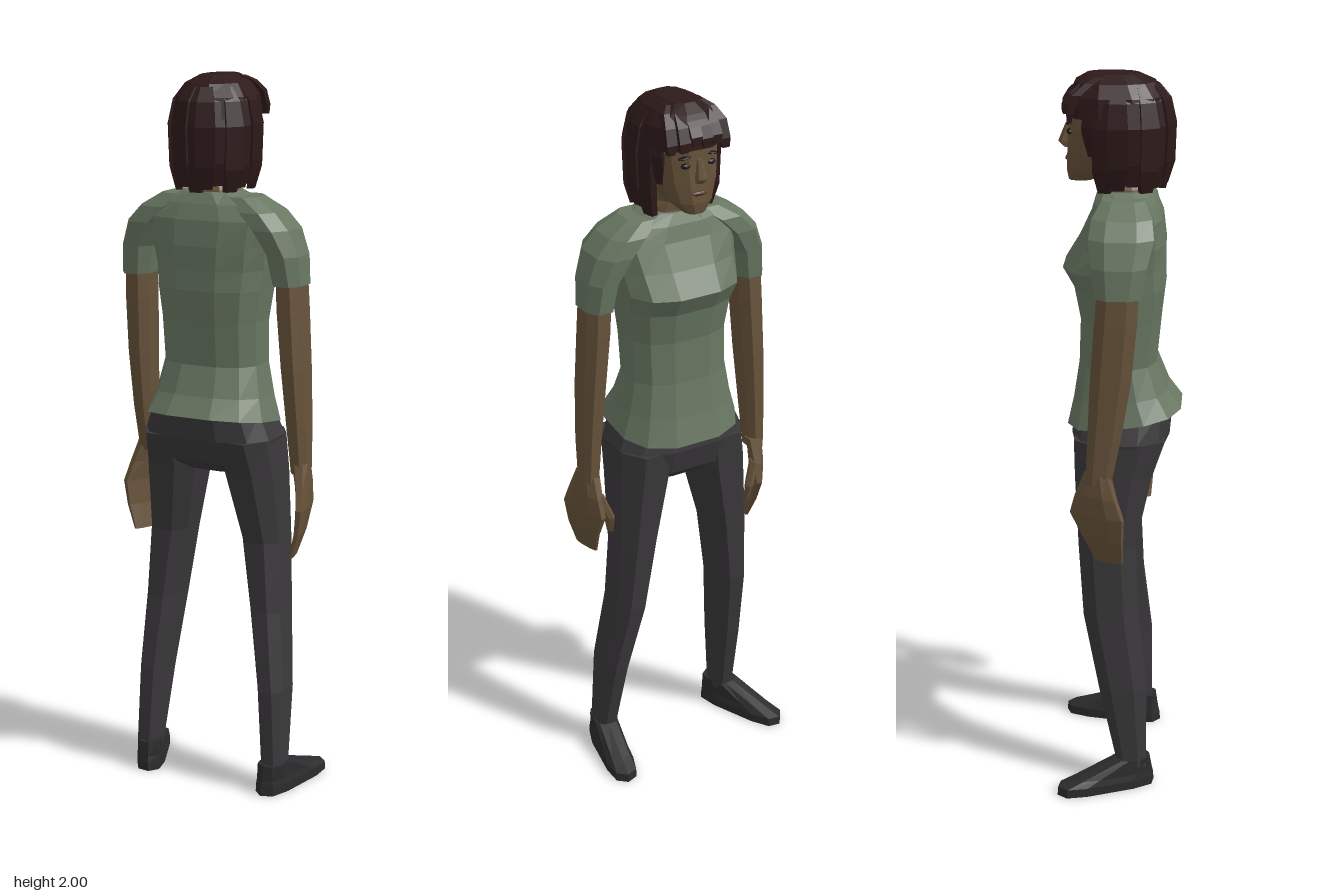
import * as THREE from 'three';

const mat = (color) => new THREE.MeshStandardMaterial({ color, flatShading: true });
const SHIRT = mat(0x687762), SKIN = mat(0x66523a), PANTS = mat(0x3a383a);
const SHOE = mat(0x2b2b2d), HAIR = mat(0x2d1919), DARK = mat(0x1c1413), LIP = mat(0x56332b);

// Faceted skin over rings listed bottom to top: [x, y, z, halfWidth, halfDepth, slopeX, slopeZ]
function loft(name, material, rings, n = 10, power = 0.8) {
  const round = (v) => Math.sign(v) * Math.abs(v) ** power;
  const loops = rings.map(([x, y, z, rx, rz, sx = 0, sz = 0]) =>
    Array.from({ length: n }, (_, i) => {
      const a = ((i + 0.5) / n) * Math.PI * 2;
      const dx = rx * round(Math.cos(a)), dz = rz * round(Math.sin(a));
      return [x + dx, y + dx * sx + dz * sz, z + dz];
    }));
  const pos = [];
  const tri = (...p) => p.forEach((v) => pos.push(...v));
  for (let k = 0; k < loops.length - 1; k++) {
    for (let i = 0; i < n; i++) {
      const j = (i + 1) % n, a = loops[k], b = loops[k + 1];
      tri(a[i], b[i], a[j]);
      tri(a[j], b[i], b[j]);
    }
  }
  const first = loops[0], last = loops[loops.length - 1];
  const c0 = rings[0].slice(0, 3), c1 = rings[rings.length - 1].slice(0, 3);
  for (let i = 0; i < n; i++) {
    const j = (i + 1) % n;
    tri(c0, first[i], first[j]);
    tri(c1, last[j], last[i]);
  }
  const g = new THREE.BufferGeometry();
  g.setAttribute('position', new THREE.Float32BufferAttribute(pos, 3));
  g.computeVertexNormals();
  const mesh = new THREE.Mesh(g, material);
  mesh.name = name;
  return mesh;
}

function ball(name, material, p, s) {
  const m = new THREE.Mesh(new THREE.IcosahedronGeometry(1, 1), material);
  m.name = name;
  m.position.set(...p);
  m.scale.set(...s);
  return m;
}

function makeArm(s, forward, inward, handTurn) {
  const arm = new THREE.Group();
  arm.name = s > 0 ? 'leftArm' : 'rightArm';
  // the arm swings a little forward and inward as it hangs
  const place = ([x, y, z, rx, rz]) => {
    const d = Math.max(0, 1.45 - y);
    return [s * (x - inward * d), y, z - forward * d, rx, rz];
  };
  arm.add(
    loft('sleeve', SHIRT, [
      [s * 0.232, 1.45, 0.008, 0.045, 0.065], [s * 0.222, 1.53, 0.01, 0.05, 0.078],
      [s * 0.188, 1.6, 0.014, 0.06, 0.092], [s * 0.145, 1.645, 0.014, 0.062, 0.085],
      [s * 0.09, 1.682, 0.015, 0.055, 0.062],
    ], 8),
    loft('bareArm', SKIN, [
      [0.265, 0.93, 0.004, 0.025, 0.037], [0.26, 1.06, 0.008, 0.031, 0.048],
      [0.25, 1.22, 0.01, 0.036, 0.058], [0.238, 1.38, 0.008, 0.039, 0.06],
      [0.232, 1.5, 0.008, 0.038, 0.056],
    ].map(place), 8));
  // hand with its palm turned toward the thigh
  const hand = new THREE.Group();
  hand.name = 'hand';
  const [x, , z] = place([0.277, 0.86, 0.003, 0, 0]);
  hand.position.set(x, 0, z);
  hand.rotation.y = s * handTurn;
  hand.add(
    loft('palm', SKIN, [
      [s * -0.026, 0.7, 0.028, 0.007, 0.043], [s * -0.008, 0.77, 0.018, 0.012, 0.064],
      [0, 0.84, 0.004, 0.016, 0.085], [s * -0.003, 0.895, 0, 0.02, 0.064],
      [s * -0.012, 0.96, 0, 0.024, 0.037],
    ], 8),
    loft('thumb', SKIN, [
      [s * -0.035, 0.785, -0.062, 0.007, 0.011], [s * -0.028, 0.835, -0.068, 0.012, 0.018],
      [s * -0.01, 0.9, -0.04, 0.014, 0.022],
    ], 6));
  arm.add(hand);
  return arm;
}

function makeLeg(s, ankle, turn) {
  const leg = new THREE.Group();
  leg.name = s > 0 ? 'leftLeg' : 'rightLeg';
  leg.add(loft('trouserLeg', PANTS, [
    [s * ankle, 0.06, 0.045, 0.034, 0.042], [s * (ankle - 0.013), 0.3, 0.018, 0.042, 0.07],
    [s * 0.166, 0.52, -0.016, 0.05, 0.08], [s * 0.146, 0.72, -0.027, 0.061, 0.083],
    [s * 0.121, 0.92, -0.01, 0.08, 0.112], [s * 0.112, 1.02, 0.006, 0.083, 0.132],
  ], 8));
  const shoe = loft('shoe', SHOE, [
    [0, 0, -0.079, 0.042, 0.145], [0, 0.025, -0.079, 0.042, 0.143],
    [0, 0.042, -0.055, 0.038, 0.115], [0, 0.085, 0.002, 0.035, 0.05],
  ], 10, 0.62);
  shoe.position.set(s * ankle, 0, 0.045);
  shoe.rotation.y = -s * turn;
  leg.add(shoe);
  return leg;
}

function makeHead() {
  const head = new THREE.Group();
  head.name = 'head';
  head.add(
    loft('neck', SKIN, [[0, 1.66, 0.014, 0.075, 0.07], [0, 1.697, 0.012, 0.066, 0.062],
      [0, 1.72, 0.006, 0.052, 0.057], [0, 1.78, -0.005, 0.05, 0.058]]),
    loft('face', SKIN, [
      [0, 1.715, -0.105, 0.03, 0.033], [0, 1.745, -0.067, 0.06, 0.077],
      [0, 1.8, -0.042, 0.082, 0.1], [0, 1.86, -0.03, 0.09, 0.109],
      [0, 1.91, -0.03, 0.088, 0.108], [0, 1.95, -0.02, 0.065, 0.08],
    ], 12),
    loft('nose', SKIN, [[0, 1.802, -0.14, 0.014, 0.012], [0, 1.816, -0.145, 0.015, 0.021],
      [0, 1.865, -0.135, 0.007, 0.011]], 6),
    ball('mouth', LIP, [0, 1.772, -0.139], [0.024, 0.007, 0.008]));
  for (const s of [-1, 1]) {
    head.add(ball('eye', DARK, [s * 0.037, 1.85, -0.131], [0.014, 0.008, 0.01]));
    const brow = ball('eyebrow', DARK, [s * 0.04, 1.873, -0.132], [0.02, 0.004, 0.009]);
    brow.rotation.z = -s * 0.12;
    head.add(brow);
  }
  return head;
}

function makeHair() {
  const hair = new THREE.Group();
  hair.name = 'hair';
  hair.add(loft('hairCap', HAIR, [
    [0, 1.89, -0.004, 0.112, 0.138], [0, 1.945, -0.008, 0.103, 0.13],
    [0, 1.98, -0.014, 0.078, 0.108], [0, 2, -0.018, 0.042, 0.07],
  ], 12));
  // one lock hanging from the cap; local +z points outward
  const lock = (deg, bottom, width, out) => {
    const a = THREE.MathUtils.degToRad(deg), c = Math.cos(a), d = Math.sin(a);
    const m = loft('hairLock', HAIR, [
      [0, bottom, out - 0.018, width * 0.6, 0.009], [0, bottom + 0.06, out - 0.004, width, 0.011],
      [0, 1.87, out, width, 0.011], [0, 1.935, out - 0.014, width * 0.85, 0.011],
      [0, 1.972, out - 0.042, width * 0.6, 0.01],
    ], 4, 0);
    m.position.set(0.109 * c, 0, 0.132 * d);
    m.rotation.y = Math.atan2(c / 0.109, d / 0.132);
    hair.add(m);
  };
  const count = 13;
  for (let i = 0; i < count; i++) {
    lock(-18 + (216 * i) / (count - 1), 1.695 + 0.009 * ((i * 2) % 3), 0.027, 0.005 * (i % 2));
  }
  // short locks at the temples
  for (const deg of [-34, 214]) lock(deg, 1.79, 0.022, 0);
  // swept fringe over the forehead, longer toward the temples
  for (let i = 0; i < 6; i++) {
    const x = (i - 2.5) * 0.031, back = 3 * x * x, low = 1.898 - 3 * x * x + 0.008 * (i % 2);
    hair.add(loft('fringeLock', HAIR, [
      [x * 1.05, low, -0.148 + back, 0.01, 0.006], [x, low + 0.025, -0.145 + back, 0.0165, 0.009],
      [x * 0.95, 1.953, -0.128 + back, 0.0165, 0.012], [x * 0.8, 1.982, -0.095 + back, 0.014, 0.012],
      [x * 0.6, 1.995, -0.05, 0.01, 0.015],
    ], 4, 0));
  }
  return hair;
}

export function createModel() {
  const person = new THREE.Group();
  person.name = 'standingPerson';
  person.add(
    loft('shirt', SHIRT, [
      [0, 1.065, 0.015, 0.183, 0.16, 0, 0.15], [0, 1.13, 0.005, 0.163, 0.132, 0, 0.08],
      [0, 1.22, -0.003, 0.145, 0.108], [0, 1.34, 0.005, 0.148, 0.112],
      [0, 1.43, 0.002, 0.16, 0.126], [0, 1.485, -0.014, 0.168, 0.141],
      [0, 1.55, 0.006, 0.176, 0.121], [0, 1.62, 0.018, 0.19, 0.1],
      [0, 1.662, 0.016, 0.148, 0.086], [0, 1.692, 0.014, 0.078, 0.07],
    ], 12, 0.75),
    loft('trouserSeat', PANTS, [
      [0, 0.915, -0.01, 0.12, 0.065], [0, 0.95, -0.002, 0.186, 0.114],
      [0, 1.02, 0.006, 0.197, 0.138], [0, 1.09, 0.012, 0.168, 0.138, 0, 0.12],
    ], 12, 0.75),
    makeArm(1, 0, 0, 0.22), makeArm(-1, 0.095, 0.05, 0.44),
    makeLeg(1, 0.21, 0.18), makeLeg(-1, 0.195, 0.4),
    makeHead(), makeHair());
  return person;
}
